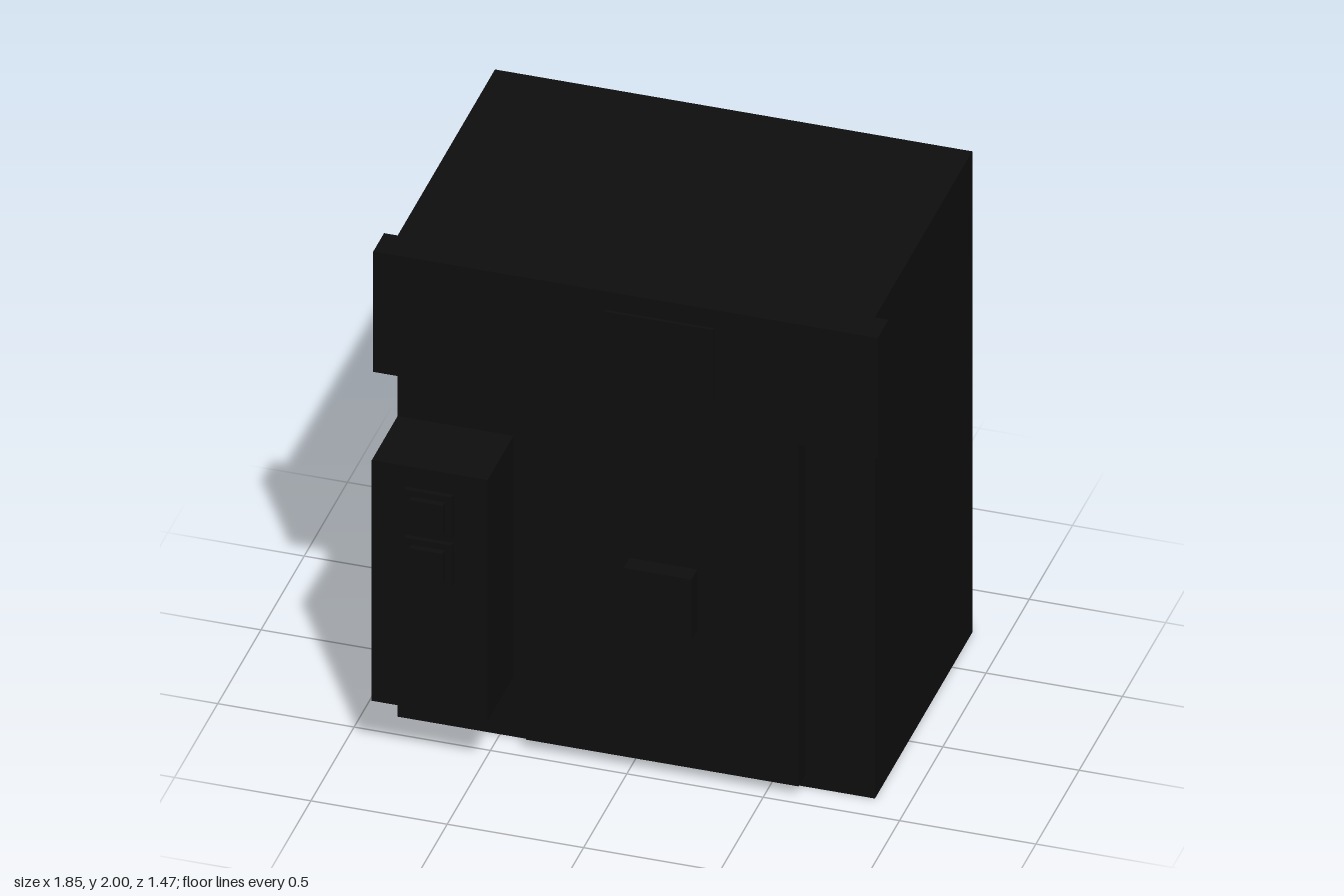
import * as THREE from 'three';

export function createModel() {
  const model = new THREE.Group();
  const black = new THREE.MeshStandardMaterial({ color: 0x0d0d0d });
  black.name = 'black';

  // Adds a box given by its extents on each axis
  function addBox(name, [x0, x1], [y0, y1], [z0, z1]) {
    const mesh = new THREE.Mesh(new THREE.BoxGeometry(x1 - x0, y1 - y0, z1 - z0), black);
    mesh.position.set((x0 + x1) / 2, (y0 + y1) / 2, (z0 + z1) / 2);
    mesh.name = name;
    model.add(mesh);
  }

  // Cabin, with a wider header across the front
  addBox('body', [-0.875, 0.875], [0, 2], [-0.735, 0.39]);
  addBox('header', [-0.925, 0.925], [1.5, 2], [0.39, 0.515]);
  addBox('headerSign', [-0.075, 0.325], [1.625, 1.925], [0.515, 0.53]);

  // Raised door with its small central block
  addBox('door', [-0.38, 0.62], [0.05, 1.5], [0.39, 0.47]);
  addBox('doorBlock', [0, 0.25], [0.63, 0.88], [0.47, 0.54]);

  // Control box with two stepped buttons
  addBox('controlBox', [-0.875, -0.45], [0.25, 1.25], [0.39, 0.69]);
  for (const y of [0.878, 1.078]) {
    addBox('buttonPlate', [-0.75, -0.575], [y - 0.087, y + 0.087], [0.69, 0.71]);
    addBox('buttonCap', [-0.725, -0.6], [y - 0.0625, y + 0.0625], [0.71, 0.735]);
  }
  return model;
}
